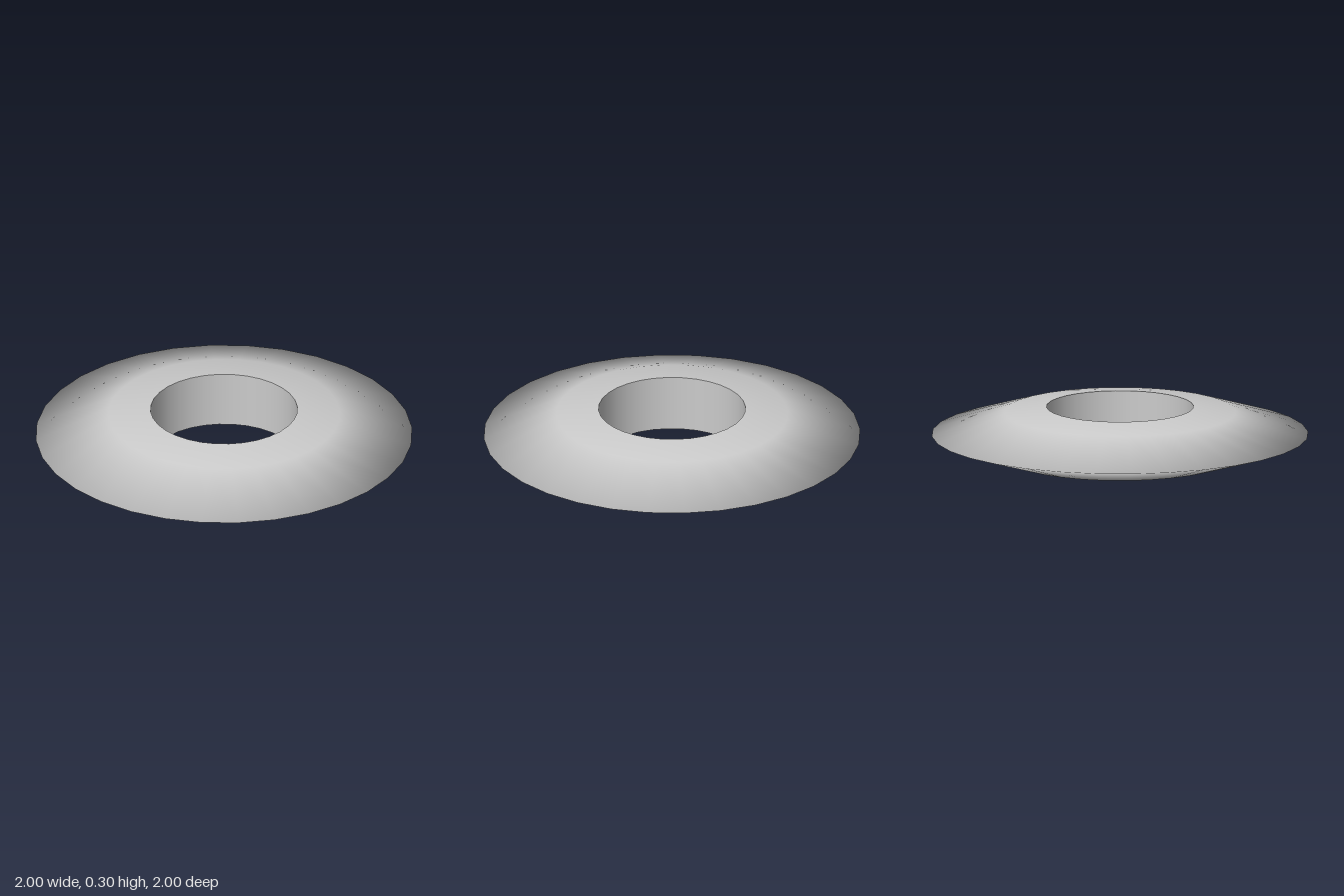
import * as THREE from 'three';

const SEGMENTS = 32;

function revolve(name, points, material) {
  const profile = points.map(([r, y]) => new THREE.Vector2(r, y));
  const mesh = new THREE.Mesh(new THREE.LatheGeometry(profile, SEGMENTS), material);
  mesh.name = name;
  return mesh;
}

export function createModel() {
  const group = new THREE.Group();
  group.name = 'ringDisc';
  const material = new THREE.MeshStandardMaterial({ color: 0xcccccc });

  const hole = 0.39, shoulder = 0.615, height = 0.3, bevel = 0.03;

  // Outer shell: underside, thin smooth-shaded rim, upper side
  group.add(revolve('discShell', [
    [hole, 0],
    [shoulder, bevel],
    [1, height / 2],
    [shoulder, height - bevel],
    [hole, height],
  ], material));

  // Straight wall of the centre hole, facing inward
  group.add(revolve('holeWall', [[hole, height], [hole, 0]], material));

  return group;
}
